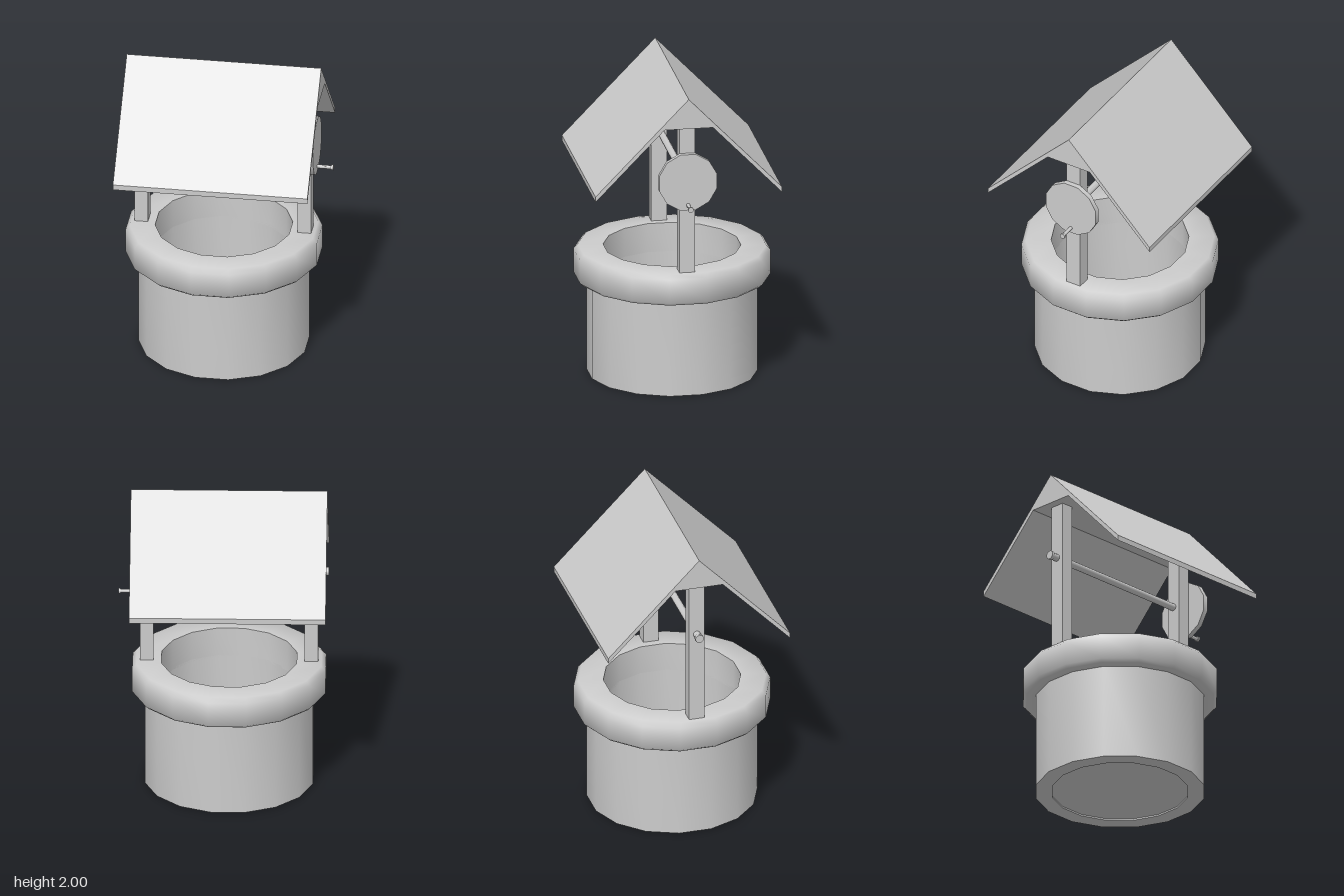
import * as THREE from 'three';
import { toCreasedNormals } from 'three/addons/utils/BufferGeometryUtils.js';

const MID = -0.035; // x of the well's axis
const AXLE_Y = 1.44;

export function createModel() {
  const model = new THREE.Group();
  const material = new THREE.MeshStandardMaterial({ color: 0xcccccc });

  function add(name, geometry, x = 0, y = 0, z = 0, mat = material) {
    const mesh = new THREE.Mesh(geometry, mat);
    mesh.name = name;
    mesh.position.set(x, y, z);
    model.add(mesh);
    return mesh;
  }

  // 16-sided ring from a closed [radius, y] profile, flats facing the axes
  function ring(points, crease) {
    const profile = points.map(([r, y]) => new THREE.Vector2(r, y));
    const geometry = new THREE.LatheGeometry(profile, 16, Math.PI / 16);
    return toCreasedNormals(geometry, crease);
  }

  // Cylinder lying along x between two ends
  function rod(name, x0, x1, y, radius, sides, turn = 0) {
    const geometry = new THREE.CylinderGeometry(radius, radius, x1 - x0, sides);
    geometry.rotateY(turn).rotateZ(-Math.PI / 2);
    return add(name, toCreasedNormals(geometry, 0.8), (x0 + x1) / 2, y, 0);
  }

  // Hollow well wall and its floor
  add('wellWall', ring([[0.435, 0], [0.54, 0], [0.54, 0.64], [0.435, 0.64], [0.435, 0]], 0.8), MID);
  const floor = new THREE.CircleGeometry(0.435, 16, Math.PI / 16).rotateX(Math.PI / 2);
  const floorMaterial = material.clone();
  floorMaterial.side = THREE.DoubleSide;
  add('wellFloor', floor, MID, 0.01, 0, floorMaterial);

  // Thick rim with softened outer edges
  add('rim', ring([
    [0.435, 0.625], [0.6, 0.625], [0.622, 0.645], [0.622, 0.8],
    [0.595, 0.83], [0.435, 0.83], [0.435, 0.625],
  ], 1.2), MID);

  // Posts on either side, standing on the rim
  for (const side of [-1, 1]) {
    add(side > 0 ? 'leftPost' : 'rightPost',
      new THREE.BoxGeometry(0.085, 1.01, 0.1), MID + side * 0.52, 1.315, 0);
  }

  // Gable roof with a flat underside below the ridge
  const gable = new THREE.Shape([
    [-0.597, 1.35], [-0.155, 1.805], [0.155, 1.805], [0.597, 1.35],
    [0.597, 1.385], [0, 2], [-0.597, 1.385],
  ].map(([z, y]) => new THREE.Vector2(z, y)));
  const roof = new THREE.ExtrudeGeometry(gable, { depth: 1.24, bevelEnabled: false });
  roof.translate(0, 0, -0.62).rotateY(Math.PI / 2);
  add('roof', roof, MID);

  // Axle with an end knob, crank wheel and handle
  rod('axle', -0.655, 0.54, AXLE_Y, 0.023, 12);
  rod('axleKnob', -0.665, -0.645, AXLE_Y, 0.028, 12);
  rod('crankWheel', 0.527, 0.56, AXLE_Y, 0.191, 12, Math.PI / 12);
  rod('handle', 0.55, 0.655, 1.29, 0.012, 10);
  rod('handleKnob', 0.65, 0.663, 1.29, 0.018, 10);

  return model;
}
